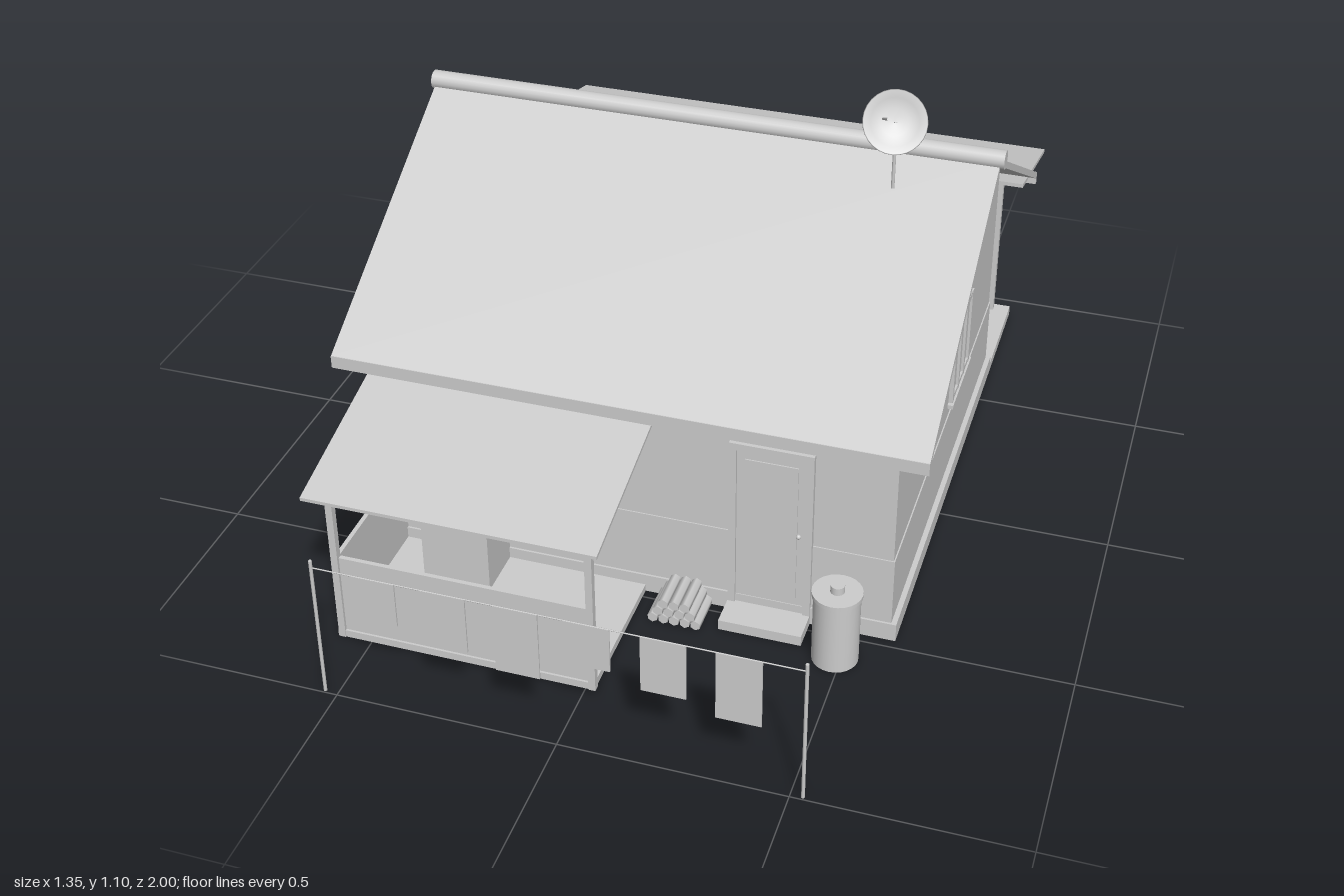
import * as THREE from 'three';

const plain = new THREE.MeshStandardMaterial({ color: 0xcccccc });
plain.name = 'pale grey';

export function createModel() {
  const root = new THREE.Group();
  root.name = 'cottage';

  const group = (name) => {
    const g = new THREE.Group();
    g.name = name;
    root.add(g);
    return g;
  };
  const add = (name, geo, parent = root) => {
    const m = new THREE.Mesh(geo, plain);
    m.name = name;
    parent.add(m);
    return m;
  };
  // Box given by its limits on each axis
  const box = (name, x0, x1, y0, y1, z0, z1, parent) =>
    add(name, new THREE.BoxGeometry(x1 - x0, y1 - y0, z1 - z0)
      .translate((x0 + x1) / 2, (y0 + y1) / 2, (z0 + z1) / 2), parent);
  // Upright cylinder
  const post = (name, x, z, y0, y1, r, parent, sides = 12) =>
    add(name, new THREE.CylinderGeometry(r, r, y1 - y0, sides).translate(x, (y0 + y1) / 2, z), parent);
  // Profile of [z, y] points swept along x
  const sweep = (name, pts, x0, x1, parent) => {
    const shape = new THREE.Shape(pts.map(([z, y]) => new THREE.Vector2(-z, y)));
    const geo = new THREE.ExtrudeGeometry(shape, { depth: x1 - x0, bevelEnabled: false });
    return add(name, geo.rotateY(Math.PI / 2).translate(x0, 0, 0), parent);
  };
  // Sloping sheet from (za, ya) to (zb, yb), t thick downwards
  const sheet = (name, za, ya, zb, yb, t, x0, x1, parent) =>
    sweep(name, [[za, ya], [zb, yb], [zb, yb - t], [za, ya - t]], x0, x1, parent);
  // Rod between two points
  const rod = (name, a, b, r, parent) => {
    const p = new THREE.Vector3(...a), d = new THREE.Vector3(...b).sub(p);
    const m = add(name, new THREE.CylinderGeometry(r, r, d.length(), 8), parent);
    m.position.copy(p).addScaledVector(d, 0.5);
    m.quaternion.setFromUnitVectors(new THREE.Vector3(0, 1, 0), d.normalize());
    return m;
  };

  // House body
  const house = group('house');
  sweep('walls', [[0.47, 0], [0.47, 0.595], [-0.08, 0.905], [-0.63, 0.595], [-0.63, 0]], -0.585, 0.585, house);
  box('wainscot', -0.588, 0.588, 0, 0.215, -0.633, 0.473, house);
  box('plinth', -0.6, 0.6, 0, 0.045, -0.638, 0.478, house);

  // Main roof
  const roof = group('mainRoof');
  sheet('frontSlope', -0.08, 0.928, 0.565, 0.56, 0.018, -0.668, 0.665, roof);
  sheet('backSlope', -0.08, 0.928, -0.725, 0.56, 0.018, -0.668, 0.665, roof);
  box('frontFascia', -0.668, 0.665, 0.53, 0.56, 0.557, 0.567, roof);
  box('backFascia', -0.668, 0.665, 0.53, 0.56, -0.727, -0.717, roof);
  add('ridgeCap', new THREE.CylinderGeometry(0.022, 0.022, 1.35, 16).rotateZ(Math.PI / 2)
    .translate(0, 0.928, -0.08), roof);

  // Gable windows and vents, mirrored
  for (const s of [-1, 1]) {
    const g = group(s > 0 ? 'leftGableOpenings' : 'rightGableOpenings');
    const plate = (name, d, y0, y1, z0, z1) => {
      const a = s * 0.58, b = s * (0.586 + d);
      box(name, Math.min(a, b), Math.max(a, b), y0, y1, z0, z1, g);
    };
    plate('windowPane', 0.003, 0.26, 0.445, -0.29, -0.11);
    for (const z of [-0.3, -0.238, -0.178, -0.115]) plate('windowUpright', 0.009, 0.25, 0.455, z, z + 0.014);
    for (const y of [0.25, 0.441]) plate('windowRail', 0.008, y, y + 0.014, -0.3, -0.101);
    plate('windowSill', 0.013, 0.242, 0.252, -0.31, -0.09);
    plate('vent', 0.004, 0.665, 0.73, -0.14, -0.03);
  }

  // Doors: frame, leaf, handle; side is the outward z direction
  const door = (name, x0, x1, y0, y1, wallZ, side) => {
    const g = group(name);
    const plate = (n, a, b, c, d, out) => {
      const z = wallZ + side * out;
      box(n, a, b, c, d, Math.min(wallZ, z), Math.max(wallZ, z), g);
    };
    plate('leaf', x0, x1, y0, y1, 0.006);
    plate('frameSide', x0, x0 + 0.017, y0, y1, 0.013);
    plate('frameSide', x1 - 0.017, x1, y0, y1, 0.013);
    plate('frameTop', x0, x1, y1 - 0.017, y1, 0.013);
    plate('panel', x0 + 0.035, x1 - 0.035, y0 + 0.04, y1 - 0.04, 0.009);
    add('handle', new THREE.SphereGeometry(0.006, 10, 8), g)
      .position.set(x1 - 0.03, (y0 + y1) / 2, wallZ + side * 0.014);
  };
  door('frontDoor', 0.215, 0.405, 0.025, 0.46, 0.47, 1);
  box('frontDoorStep', 0.215, 0.405, 0, 0.025, 0.47, 0.555);
  door('backDoor', -0.345, -0.145, 0.025, 0.475, -0.63, -1);

  // Back window with louvred shutters
  const win = group('backWindow');
  box('pane', 0.115, 0.405, 0.22, 0.44, -0.635, -0.63, win);
  for (const x of [0.11, 0.253, 0.396]) box('upright', x, x + 0.014, 0.21, 0.45, -0.642, -0.63, win);
  for (const y of [0.21, 0.437]) box('rail', 0.11, 0.41, y, y + 0.013, -0.642, -0.63, win);
  box('sill', 0.09, 0.43, 0.195, 0.21, -0.655, -0.63, win);
  for (const x0 of [-0.03, 0.42]) {
    box('shutterBoard', x0, x0 + 0.13, 0.205, 0.455, -0.636, -0.63, win);
    for (const x of [x0, x0 + 0.117]) box('shutterStile', x, x + 0.013, 0.205, 0.455, -0.644, -0.63, win);
    for (let i = 0; i < 9; i++) {
      const y = 0.212 + i * 0.0275;
      sheet('louvre', -0.632, y + 0.02, -0.646, y + 0.008, 0.006, x0 + 0.01, x0 + 0.12, win);
    }
  }

  // Back porch
  const porch = group('backPorch');
  box('floor', -0.6, 0.6, 0, 0.025, -0.93, -0.63, porch);
  box('step', -0.39, -0.07, 0, 0.014, -1, -0.93, porch);
  sheet('porchRoof', -0.63, 0.572, -1, 0.483, 0.01, -0.645, 0.645, porch);
  box('beam', -0.615, 0.615, 0.482, 0.5, -0.918, -0.898, porch);
  box('purlin', -0.615, 0.615, 0.518, 0.532, -0.775, -0.76, porch);
  for (const x of [-0.55, -0.17, 0.55]) box('post', x - 0.009, x + 0.009, 0.025, 0.49, -0.917, -0.899, porch);

  // Slatted bench
  const bench = group('bench');
  for (let i = 0; i < 6; i++) {
    const z = -0.778 + i * 0.0172;
    box('slat', 0.11, 0.41, 0.111, 0.119, z, z + 0.011, bench);
  }
  for (const x of [0.13, 0.39]) {
    box('crossRail', x - 0.007, x + 0.007, 0.1, 0.111, -0.778, -0.681, bench);
    for (const z of [-0.77, -0.69]) box('leg', x - 0.006, x + 0.006, 0.025, 0.105, z - 0.006, z + 0.006, bench);
  }

  // Hanging lantern
  const lantern = group('lantern');
  post('hanger', -0.45, -0.84, 0.425, 0.52, 0.0025, lantern, 8);
  post('cap', -0.45, -0.84, 0.422, 0.43, 0.032, lantern);
  post('glass', -0.45, -0.84, 0.35, 0.424, 0.018, lantern);
  post('base', -0.45, -0.84, 0.343, 0.351, 0.032, lantern);
  for (let i = 0; i < 4; i++) {
    const a = Math.PI / 4 + i * Math.PI / 2;
    post('bar', -0.45 + 0.028 * Math.cos(a), -0.84 + 0.028 * Math.sin(a), 0.345, 0.426, 0.0025, lantern, 6);
  }

  // Front terrace with low walls and awning
  const terrace = group('frontTerrace');
  box('floor', -0.58, 0.02, 0, 0.018, 0.47, 0.823, terrace);
  box('frontLowWall', -0.57, 0.015, 0.015, 0.217, 0.808, 0.818, terrace);
  box('sideLowWall', -0.575, -0.565, 0.015, 0.217, 0.47, 0.815, terrace);
  for (const x of [-0.57, 0.015]) box('post', x - 0.008, x + 0.008, 0, 0.42, 0.809, 0.825, terrace);
  sheet('awning', 0.47, 0.513, 0.876, 0.413, 0.008, -0.605, 0.055, terrace);

  // Washing trough with round basin
  const trough = group('washTrough');
  box('trough', -0.47, -0.31, 0.018, 0.175, 0.475, 0.6, trough);
  add('basin', new THREE.CylinderGeometry(0.05, 0.04, 0.018, 20).translate(-0.39, 0.184, 0.54), trough);

  // Log stack
  const logs = group('logStack');
  for (let row = 0; row < 3; row++) {
    for (let i = 0; i < 5 - row; i++) {
      add('log', new THREE.CylinderGeometry(0.0122, 0.0122, 0.095, 6).rotateX(Math.PI / 2)
        .translate(0.068 + i * 0.025 + row * 0.0125, 0.0125 + row * 0.0215, 0.527), logs);
    }
  }

  // Water barrel
  const barrel = group('waterBarrel');
  post('drum', 0.485, 0.566, 0, 0.175, 0.052, barrel, 24);
  post('lid', 0.485, 0.566, 0.174, 0.184, 0.056, barrel, 24);
  post('knob', 0.485, 0.566, 0.184, 0.202, 0.016, barrel, 16);

  // Clothes line
  const line = group('clothesLine');
  for (const x of [-0.53, 0.527]) post('linePost', x, 0.993, 0, 0.353, 0.004, line, 8);
  rod('line', [-0.53, 0.335, 0.993], [0.527, 0.335, 0.993], 0.0015, line);
  [-0.44, -0.285, -0.128, 0.025, 0.185, 0.342].forEach((x, i) =>
    box('cloth', x, x + 0.096, 0.226 - (i % 3) * 0.03, 0.335, 0.991, 0.995, line));

  // Satellite dish
  const dish = group('satelliteDish');
  post('mast', 0.447, 0.018, 0.873, 1.035, 0.004, dish, 8);
  const bowlPts = [[0.001, -0.014], [0.03, -0.012], [0.055, -0.005], [0.071, 0.004],
    [0.069, 0.006], [0.053, -0.001], [0.03, -0.008], [0.001, -0.01]].map((p) => new THREE.Vector2(...p));
  const bowl = add('bowl', new THREE.LatheGeometry(bowlPts, 28), dish);
  bowl.position.set(0.447, 1.04, 0.03);
  bowl.quaternion.setFromUnitVectors(new THREE.Vector3(0, 1, 0), new THREE.Vector3(0.27, 0.5, 0.82).normalize());
  rod('feedArm', [0.422, 1.047, 0.035], [0.445, 1.077, 0.092], 0.003, dish);

  return root;
}
